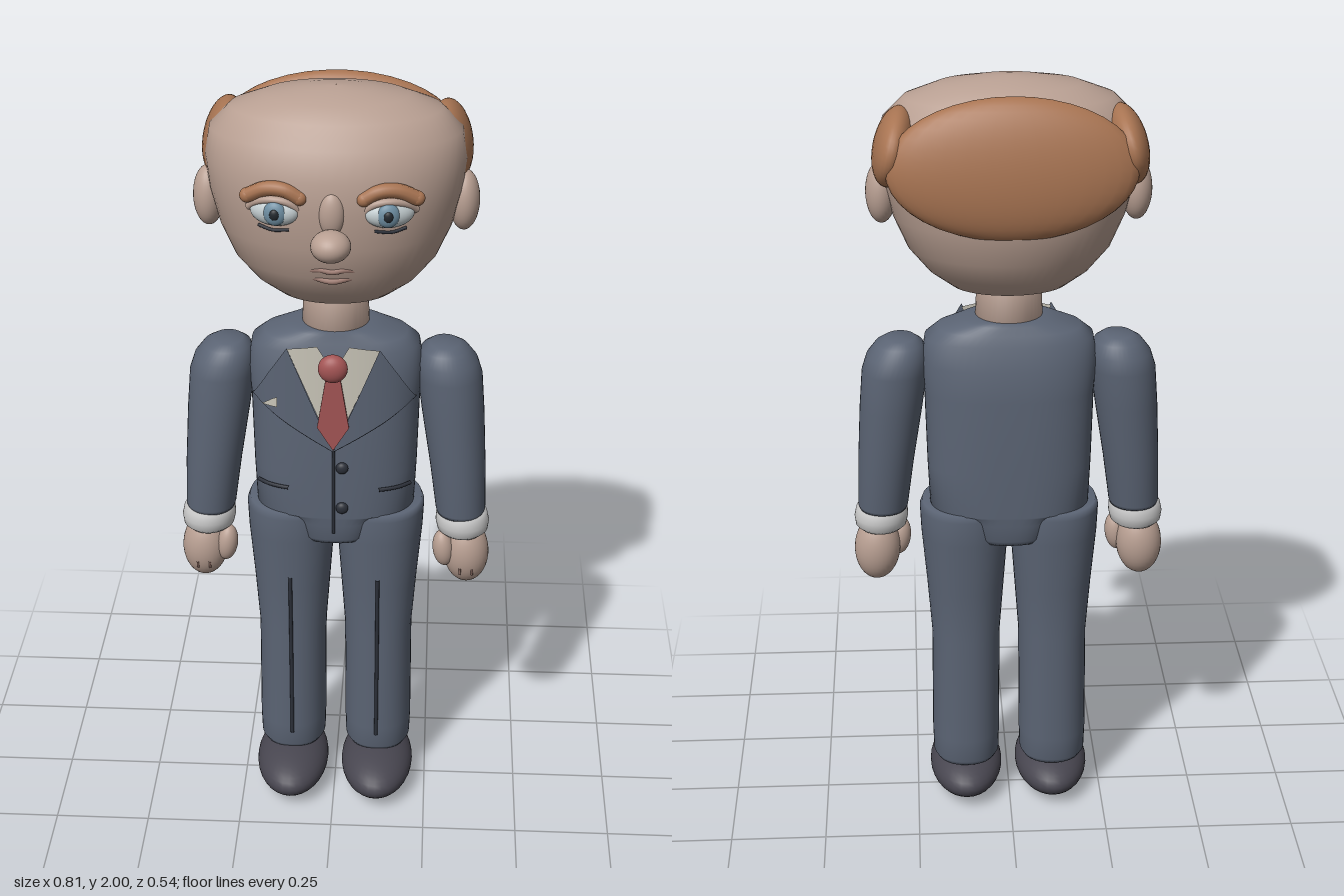
import * as THREE from 'three';

const SKIN = 0xb89f92, HAIR = 0xa87452, SUIT = 0x5b6474, DARK = 0x2b2f38, SHOE = 0x484650;
const SHIRT = 0xc9c5b8, CUFF = 0xcccccc, TIE = 0xa35454, LIP = 0x9c7a70;

export function createModel() {
  const model = new THREE.Group();

  function add(name, geometry, color, parent = model) {
    const mesh = new THREE.Mesh(geometry, new THREE.MeshStandardMaterial({ color }));
    mesh.name = name;
    parent.add(mesh);
    return mesh;
  }

  function ellipsoid(name, color, pos, radii, rot = [0, 0, 0]) {
    const mesh = add(name, new THREE.SphereGeometry(1, 32, 20), color);
    mesh.position.set(...pos);
    mesh.scale.set(...radii);
    mesh.rotation.set(...rot);
    return mesh;
  }

  // Closed body through rings [y, cx, cz, rx, rz], listed upwards, with superellipse outlines
  function loft(name, color, rings, side = 1, power = 2, n = 40) {
    const first = rings[0], last = rings[rings.length - 1];
    const all = [[...first.slice(0, 3), 0.001, 0.001], ...rings, [...last.slice(0, 3), 0.001, 0.001]];
    const pos = [], index = [];
    const bend = (v) => Math.sign(v) * Math.abs(v) ** (2 / power);
    all.forEach(([y, cx, cz, rx, rz], i) => {
      for (let j = 0; j < n; j++) {
        const t = (j / n) * Math.PI * 2;
        pos.push(cx * side + rx * bend(Math.cos(t)), y, cz + rz * bend(Math.sin(t)));
        if (i === all.length - 1) continue;
        const a = i * n + j, c = i * n + ((j + 1) % n);
        index.push(a, a + n, c, c, a + n, c + n);
      }
    });
    const g = new THREE.BufferGeometry();
    g.setAttribute('position', new THREE.Float32BufferAttribute(pos, 3));
    g.setIndex(index);
    g.computeVertexNormals();
    return add(name, g, color);
  }

  // Front of the chest at x, used to lay cloth details on the jacket
  const chestZ = (x) => -0.025 + 0.13 * (1 - Math.min(1, Math.abs(x) / 0.218) ** 2.6) ** (1 / 2.6);

  // Thin four-cornered cloth piece that follows the chest
  function cloth(name, color, corners, lift) {
    const [a, b, c, d] = corners.map((p) => new THREE.Vector2(...p));
    const g = new THREE.PlaneGeometry(1, 1, 10, 10);
    const p = g.attributes.position;
    for (let i = 0; i < p.count; i++) {
      const u = p.getX(i) + 0.5, v = p.getY(i) + 0.5;
      const q = a.clone().lerp(b, u).lerp(d.clone().lerp(c, u), v);
      p.setXYZ(i, q.x, q.y, chestZ(q.x) + lift);
    }
    g.computeVertexNormals();
    add(name, g, color).material.side = THREE.DoubleSide;
  }

  function line(name, color, points, radius) {
    const curve = new THREE.CatmullRomCurve3(points.map((p) => new THREE.Vector3(...p)));
    return add(name, new THREE.TubeGeometry(curve, 20, radius, 10), color);
  }

  // Head and neck
  loft('head', SKIN, [
    [1.47, 0, -0.03, 0.09, 0.07], [1.48, 0, -0.03, 0.145, 0.11], [1.52, 0, -0.03, 0.2, 0.15],
    [1.58, 0, -0.03, 0.25, 0.19], [1.66, 0, -0.03, 0.285, 0.211], [1.75, 0, -0.03, 0.308, 0.22],
    [1.83, 0, -0.03, 0.317, 0.216], [1.9, 0, -0.03, 0.305, 0.19], [1.95, 0, -0.03, 0.255, 0.15],
    [1.98, 0, -0.03, 0.175, 0.105], [1.995, 0, -0.03, 0.085, 0.05], [2, 0, -0.03, 0.02, 0.012],
  ], 1, 2, 56);
  loft('neck', SKIN, [[1.36, 0, -0.022, 0.086, 0.084], [1.5, 0, -0.022, 0.08, 0.08]]);
  ellipsoid('noseBridge', SKIN, [0, 1.755, 0.18], [0.031, 0.055, 0.024]);
  ellipsoid('noseTip', SKIN, [0, 1.692, 0.222], [0.048, 0.038, 0.048]);
  line('upperLip', LIP, [[-0.065, 1.6, 0.15], [-0.03, 1.606, 0.162], [0, 1.602, 0.166], [0.03, 1.606, 0.162], [0.065, 1.6, 0.15]], 0.007);
  line('lowerLip', LIP, [[-0.05, 1.582, 0.148], [0, 1.575, 0.161], [0.05, 1.582, 0.148]], 0.007);
  ellipsoid('backHair', HAIR, [0, 1.815, -0.203], [0.3, 0.17, 0.062], [0.13, 0, 0]);

  // Jacket, narrowing to a tongue between the legs
  loft('jacket', SUIT, [
    [0.8, 0, -0.025, 0.1, 0.115], [0.815, 0, -0.025, 0.112, 0.125], [0.86, 0, -0.025, 0.135, 0.13],
    [0.88, 0, -0.025, 0.165, 0.131], [0.885, 0, -0.025, 0.205, 0.132], [1, 0, -0.025, 0.21, 0.132],
    [1.2, 0, -0.025, 0.215, 0.131], [1.28, 0, -0.025, 0.222, 0.122], [1.34, 0, -0.025, 0.212, 0.105],
    [1.365, 0, -0.024, 0.18, 0.095], [1.385, 0, -0.023, 0.12, 0.088], [1.395, 0, -0.022, 0.085, 0.084],
  ], 1, 2.6, 56);
  line('jacketOpening', DARK, [[0, 1.09, 0.108], [0, 0.97, 0.108], [0, 0.84, 0.105]], 0.004);
  for (const y of [1.035, 0.918]) ellipsoid('button', DARK, [0.022, y, 0.109], [0.016, 0.016, 0.011]);
  cloth('pocketSquare', SHIRT, [[-0.18, 1.21], [-0.14, 1.21], [-0.14, 1.238], [-0.152, 1.232]], 0.03);

  // Tie
  ellipsoid('tieKnot', TIE, [0, 1.328, 0.132], [0.037, 0.037, 0.025]);
  const blade = new THREE.Shape([[-0.016, 1.31], [-0.04, 1.16], [0, 1.095], [0.04, 1.16], [0.016, 1.31]].map((p) => new THREE.Vector2(...p)));
  add('tieBlade', new THREE.ExtrudeGeometry(blade, { depth: 0.008, bevelEnabled: false }), TIE).position.z = 0.119;

  for (const s of [1, -1]) {
    // Face
    ellipsoid('ear', SKIN, [s * 0.312, 1.715, -0.032], [0.038, 0.077, 0.047]);
    ellipsoid('sideHair', HAIR, [s * 0.278, 1.845, -0.092], [0.05, 0.096, 0.133], [0, s * -0.06, s * 0.22]);
    ellipsoid('eye', 0xc3cdd0, [s * 0.135, 1.755, 0.162], [0.06, 0.036, 0.032], [0, s * 0.25, 0]);
    ellipsoid('iris', 0x6f8fa3, [s * 0.133, 1.757, 0.186], [0.027, 0.03, 0.015], [0, s * 0.15, 0]);
    ellipsoid('pupil', 0x22282e, [s * 0.133, 1.758, 0.197], [0.012, 0.014, 0.008]);
    line('eyelid', SKIN, [[s * 0.075, 1.757, 0.172], [s * 0.1, 1.782, 0.182], [s * 0.14, 1.789, 0.18], [s * 0.175, 1.779, 0.165], [s * 0.198, 1.757, 0.143]], 0.009);
    line('lowerLash', DARK, [[s * 0.1, 1.712, 0.173], [s * 0.14, 1.706, 0.162], [s * 0.175, 1.713, 0.148]], 0.004);
    const brow = [[s * 0.075, 1.793, 0.176], [s * 0.11, 1.812, 0.176], [s * 0.155, 1.812, 0.168], [s * 0.2, 1.791, 0.157]];
    line('eyebrow', HAIR, brow, 0.018);
    for (const end of [brow[0], brow[3]]) ellipsoid('eyebrowEnd', HAIR, end, [0.018, 0.018, 0.018]);

    // Shirt front and lapels
    cloth('shirtFront', SHIRT, [[0, 1.09], [0, 1.31], [s * 0.04, 1.378], [s * 0.115, 1.366]], 0.009);
    cloth('lapel', SUIT, [[0, 1.09], [s * 0.205, 1.22], [s * 0.16, 1.3], [s * 0.115, 1.372]], 0.018);
    line('lapelEdge', DARK, [[0, 1.09], [s * 0.07, 1.134], [s * 0.14, 1.179], [s * 0.205, 1.22]].map(([x, y]) => [x, y, chestZ(x) + 0.014]), 0.003);
    line('pocket', DARK, [0.115, 0.14, 0.17, 0.195].map((x) => [s * x, 0.968, chestZ(x) + 0.003]), 0.005);

    // Arm
    loft('sleeve', SUIT, [
      [0.86, 0.327, -0.004, 0.062, 0.07], [0.87, 0.327, -0.005, 0.065, 0.074], [1, 0.316, -0.01, 0.072, 0.083],
      [1.15, 0.3, -0.018, 0.08, 0.09], [1.25, 0.289, -0.022, 0.083, 0.092], [1.29, 0.282, -0.022, 0.077, 0.087],
      [1.32, 0.276, -0.022, 0.06, 0.068], [1.335, 0.274, -0.022, 0.038, 0.045],
    ], s, 2.1);
    loft('cuff', CUFF, [
      [0.8, 0.334, 0, 0.055, 0.058], [0.81, 0.334, 0, 0.066, 0.068], [0.832, 0.333, 0, 0.07, 0.073],
      [0.855, 0.331, 0, 0.067, 0.071], [0.868, 0.33, 0, 0.058, 0.062],
    ], s).rotation.z = 0;
    ellipsoid('hand', SKIN, [s * 0.345, 0.738, 0.002], [0.06, 0.09, 0.058], [0, 0, s * 0.05]);
    ellipsoid('thumb', SKIN, [s * 0.285, 0.757, 0.025], [0.028, 0.052, 0.03], [0, 0, s * 0.12]);
    for (const x of [0.33, 0.362]) line('fingerCrease', LIP, [[s * x, 0.712, 0.056], [s * x, 0.69, 0.05]], 0.003);

    // Leg and shoe
    loft('trouserLeg', SUIT, [
      [0.12, 0.117, -0.02, 0.08, 0.085], [0.135, 0.117, -0.02, 0.088, 0.095], [0.2, 0.117, -0.02, 0.09, 0.099],
      [0.5, 0.115, -0.02, 0.09, 0.1], [0.65, 0.115, -0.022, 0.101, 0.109], [0.8, 0.116, -0.025, 0.113, 0.122],
      [0.87, 0.117, -0.025, 0.115, 0.126], [0.888, 0.117, -0.025, 0.108, 0.118],
    ], s, 2.2);
    line('trouserCrease', DARK, [[s * 0.115, 0.18, 0.078], [s * 0.115, 0.45, 0.08], [s * 0.115, 0.69, 0.09]], 0.005);
    ellipsoid('shoe', SHOE, [s * 0.117, 0.064, 0.022], [0.098, 0.064, 0.173]);
  }
  return model;
}
